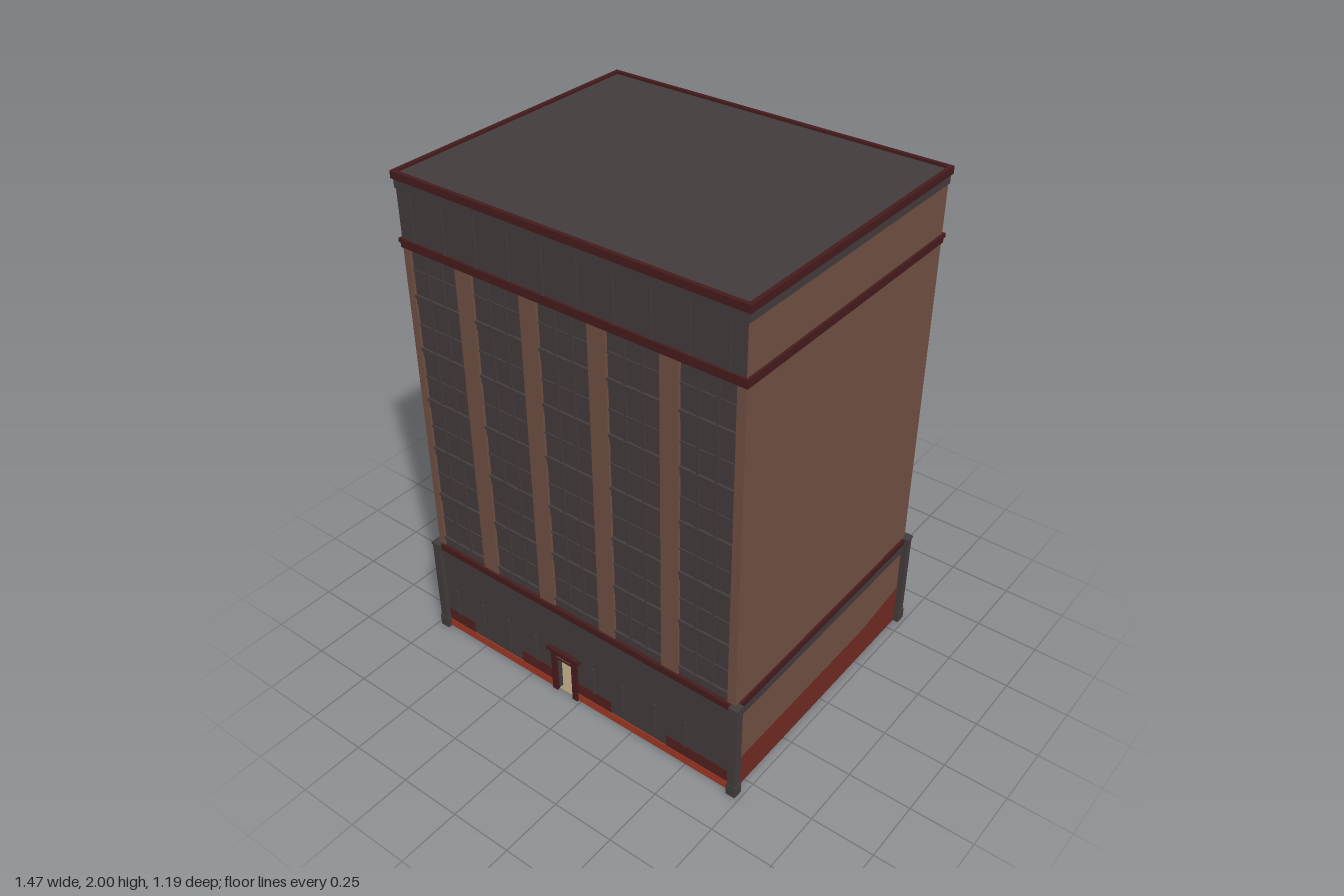
import * as THREE from 'three';

const mat = (name, color) => {
  const m = new THREE.MeshStandardMaterial({ color });
  m.name = name;
  return m;
};

export function createModel() {
  const grey = mat('charcoal stone', 0x433b3c);
  const brown = mat('brown brick', 0x704f42);
  const maroon = mat('maroon trim', 0x451b1d);
  const oxblood = mat('oxblood brick', 0x521f1f);
  const rust = mat('rust brick', 0x702a22);
  const red = mat('red plinth', 0xa03824);
  const tan = mat('tan floor', 0xa69473);

  const W = 0.71, D = 0.57, R = 0.02; // half width, half depth, wall thickness
  const model = new THREE.Group();
  model.name = 'building';

  // Box given by its limits on each axis
  const box = (parent, name, m, x0, x1, y0, y1, z0, z1) => {
    const mesh = new THREE.Mesh(new THREE.BoxGeometry(x1 - x0, y1 - y0, z1 - z0), m);
    mesh.position.set((x0 + x1) / 2, (y0 + y1) / 2, (z0 + z1) / 2);
    mesh.name = name;
    parent.add(mesh);
  };

  // Rectangular band that runs round the building, standing out by `out`
  const band = (name, m, out, y0, y1) => {
    const rect = (Type, w, d) => new Type([[-w, -d], [w, -d], [w, d], [-w, d]].map(p => new THREE.Vector2(...p)));
    const shape = rect(THREE.Shape, W + out, D + out);
    shape.holes.push(rect(THREE.Path, W - 0.005, D - 0.005));
    const g = new THREE.ExtrudeGeometry(shape, { depth: y1 - y0, bevelEnabled: false });
    g.rotateX(-Math.PI / 2);
    const mesh = new THREE.Mesh(g, m);
    mesh.position.y = y0;
    mesh.name = name;
    model.add(mesh);
  };

  // Facade group: local z = 0 is the wall plane, +z points outwards
  const facade = (name, angle, dist) => {
    const g = new THREE.Group();
    g.name = name;
    g.rotation.y = angle;
    g.position.set(Math.sin(angle) * dist, 0, Math.cos(angle) * dist);
    model.add(g);
    return g;
  };

  // Solid upper core and roof over a hollow ground floor, seen through the doorway
  box(model, 'core', brown, -W + R, W, 0.4, 1.97, -D, D - R);
  box(model, 'roof', grey, -W, W, 1.96, 1.99, -D, D);
  box(model, 'floor', tan, -W, W, 0, 0.004, -D, D);
  box(model, 'blankSideWall', brown, W - R, W, 0.004, 0.4, -D, D - R);
  box(model, 'backWall', brown, -W + R, W - R, 0.004, 0.4, -D, -D + R);

  // Cornices and string courses
  band('topCornice', maroon, 0.01, 1.972, 2);
  band('topFrieze', grey, 0.004, 1.938, 1.972);
  band('upperCourseLip', maroon, 0.009, 1.74, 1.755);
  band('upperCourse', maroon, 0.005, 1.72, 1.74);
  band('baseCornice', maroon, 0.009, 0.402, 0.43);
  band('baseFrieze', grey, 0.006, 0.362, 0.402);

  // Corner posts on the ground floor
  for (const sx of [-1, 1]) for (const sz of [-1, 1]) {
    const x = sx * 0.715, z = sz * 0.573;
    box(model, 'cornerPost', grey, x - 0.017, x + 0.017, 0, 0.425, z - 0.017, z + 0.017);
    box(model, 'postFoot', grey, x - 0.02, x + 0.02, 0, 0.05, z - 0.02, z + 0.02);
    box(model, 'postCap', grey, x - 0.02, x + 0.02, 0.422, 0.432, z - 0.02, z + 0.02);
  }

  // Upper storeys: window bays between brick piers, with a ribbed frieze above
  const upperStoreys = (g, x0, x1, centres, halfBay, ribStep) => {
    let edge = x0;
    for (const c of [...centres, null]) {
      const end = c === null ? x1 : c - halfBay;
      box(g, 'pier', brown, edge, end, 0.42, 1.73, -R, 0);
      if (c !== null) edge = c + halfBay;
    }
    for (const c of centres) {
      box(g, 'glazing', grey, c - halfBay, c + halfBay, 0.42, 1.73, -R, -0.01);
      for (let f = 0; f < 6; f++) {
        const y = 0.43 + f * 0.215;
        box(g, 'spandrel', grey, c - halfBay, c + halfBay, y, y + 0.03, -R, -0.006);
        box(g, 'sill', grey, c - halfBay, c + halfBay, y + 0.03, y + 0.04, -R, 0);
        box(g, 'transom', grey, c - halfBay, c + halfBay, y + 0.13, y + 0.137, -R, -0.005);
      }
      for (const t of [-0.34, 0.34])
        box(g, 'mullion', grey, c + t * halfBay - 0.005, c + t * halfBay + 0.005, 0.43, 1.72, -R, -0.004);
    }
    box(g, 'frieze', grey, x0 + 0.003, x1 - 0.003, 1.73, 1.96, -R, 0);
    const n = Math.floor((x1 - x0) / ribStep);
    for (let i = 0; i <= n; i++) {
      const x = (i - n / 2) * ribStep;
      if (Math.abs(x) < x1 - 0.02) box(g, 'friezeRib', grey, x - 0.004, x + 0.004, 1.75, 1.94, 0, 0.006);
    }
  };

  // Front facade
  const front = facade('frontFacade', 0, D);
  upperStoreys(front, -W, W, [-0.572, -0.286, 0, 0.286, 0.572].map(x => x - 0.003), 0.106, 0.144);
  box(front, 'friezeReturn', brown, W - 0.003, W, 1.73, 1.96, -R, 0);
  box(front, 'friezeReturn', grey, -W, -W + 0.003, 1.73, 1.96, -R, 0);

  // Ground floor wall around the open doorway
  const doorL = -0.112, doorR = -0.036;
  box(front, 'groundWall', grey, -W, doorL, 0.004, 0.42, -R, 0);
  box(front, 'groundWall', grey, doorR, W, 0.004, 0.42, -R, 0);
  box(front, 'wallOverDoor', grey, doorL, doorR, 0.165, 0.42, -R, 0);
  for (const [a, b] of [[-0.7, -0.136], [-0.012, 0.7]]) box(front, 'plinth', red, a, b, 0, 0.036, 0, 0.004);
  for (const [a, b] of [[-0.7, -0.56], [-0.3, -0.136], [-0.012, 0.15], [0.41, 0.7]])
    box(front, 'darkBrickPatch', oxblood, a, b, 0.036, 0.09, 0, 0.002);

  // Shopfront bars and sign panels
  for (const x of [-0.64, -0.5, -0.36, -0.22, 0.07, 0.21, 0.36, 0.5])
    box(front, 'shopMullion', grey, x - 0.004, x + 0.004, 0.09, 0.215, 0, 0.007);
  for (const c of [-0.43, 0.285])
    box(front, 'signPanel', grey, c - 0.13, c + 0.13, 0.335, 0.36, 0, 0.005);

  // Entrance surround
  box(front, 'doorTransom', brown, doorL, doorR, 0.172, 0.188, 0, 0.006);
  box(front, 'doorRail', maroon, doorL, doorR, 0.165, 0.172, 0, 0.009);
  for (const x of [-0.124, -0.024]) box(front, 'doorJamb', maroon, x - 0.012, x + 0.012, 0, 0.195, 0, 0.012);
  box(front, 'doorHead', maroon, -0.14, -0.008, 0.186, 0.2, 0, 0.012);
  box(front, 'doorHood', maroon, -0.153, 0.005, 0.2, 0.215, 0, 0.018);

  // Windowed side facade, with two loading bays at street level
  const side = facade('windowedSide', -Math.PI / 2, W);
  upperStoreys(side, -D, D - R, [-0.43, -0.143, 0.143, 0.43], 0.103, 0.144);
  box(side, 'friezeReturn', brown, -D, -D + 0.003, 1.73, 1.96, -R, 0);
  box(side, 'friezeReturn', grey, D - R - 0.003, D - R, 1.73, 1.96, -R, 0);
  box(side, 'groundWall', brown, -D, D - R, 0.004, 0.42, -R, 0);
  box(side, 'brickBase', rust, -0.55, 0.55, 0, 0.14, 0, 0.002);
  for (const a of [-0.43, 0.143]) {
    const b = a + 0.287;
    box(side, 'loadingDoor', grey, a, b, 0, 0.33, 0, 0.006);
    for (const x of [a, b]) box(side, 'loadingPost', grey, x - 0.01, x + 0.01, 0, 0.36, 0, 0.016);
    for (let i = 1; i < 4; i++)
      box(side, 'loadingRib', grey, a + i * 0.072 - 0.003, a + i * 0.072 + 0.003, 0.02, 0.24, 0, 0.01);
    box(side, 'loadingLintel', grey, a, b, 0.24, 0.25, 0, 0.01);
  }

  // Rust brick base on the blank walls, rising over `run` towards their shared corner
  const risingBase = (g, half, s, run) => {
    const pts = [[-s * half, 0], [s * half, 0], [s * half, 0.18], [s * (half - run), 0.14], [-s * half, 0.14]];
    const shape = new THREE.Shape(pts.map(p => new THREE.Vector2(...p)));
    const mesh = new THREE.Mesh(new THREE.ShapeGeometry(shape), rust);
    mesh.position.z = 0.002;
    mesh.name = 'brickBase';
    g.add(mesh);
  };
  risingBase(facade('blankSide', Math.PI / 2, W), D, 1, 0.27);
  risingBase(facade('blankBack', Math.PI, D), W, -1, 0.12);

  return model;
}
